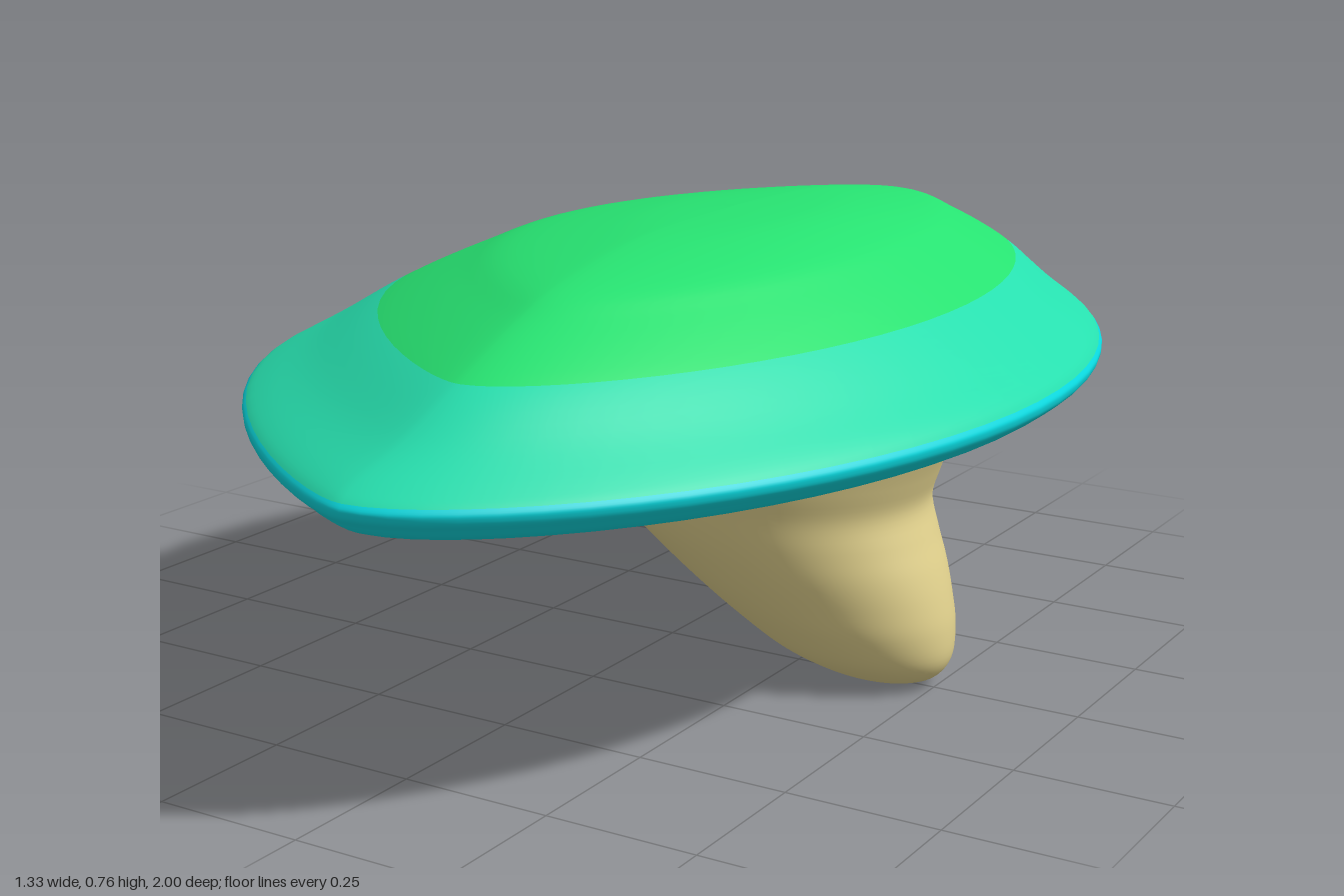
import * as THREE from 'three';

const SIDES = 72, STEPS = 5;

// Smooth interpolation between the key rings of a loft
function smoothRings(keys) {
  const rings = [];
  const at = i => keys[Math.max(0, Math.min(keys.length - 1, i))];
  for (let i = 0; i < keys.length - 1; i++) {
    for (let s = 0; s < STEPS; s++) {
      const t = s / STEPS, t2 = t * t, t3 = t2 * t;
      rings.push(keys[i].map((b, n) => {
        const a = at(i - 1)[n], c = at(i + 1)[n], d = at(i + 2)[n];
        return b + 0.5 * ((c - a) * t + (2 * a - 5 * b + 4 * c - d) * t2 + (3 * b - a - 3 * c + d) * t3);
      }));
    }
  }
  rings.push(keys[keys.length - 1]);
  return rings;
}

// Loft from top to bottom; each ring is [left x, right x, half depth, x of widest point, y].
// leftPoint and rightPoint (0 = elliptical) narrow the outline towards its front and back tips.
function loft(keys, leftPoint, rightPoint) {
  const rings = smoothRings(keys), pos = [], index = [];
  for (const [l, r, w, c, y] of rings) {
    for (let j = 0; j < SIDES; j++) {
      const a = j / SIDES * Math.PI * 2, k = Math.abs(Math.cos(a));
      const right = Math.cos(a) > 0;
      const p = right ? rightPoint : leftPoint;
      const u = (1 - p) * k + p * k * k;
      pos.push(c + u * (right ? r - c : l - c), y, w * Math.sin(a));
    }
  }
  for (let i = 0; i < rings.length - 1; i++) {
    for (let j = 0; j < SIDES; j++) {
      const n = (j + 1) % SIDES;
      const a = i * SIDES + j, c = i * SIDES + n, b = a + SIDES, d = c + SIDES;
      index.push(a, c, b, c, d, b);
    }
  }
  const geo = new THREE.BufferGeometry();
  geo.setAttribute('position', new THREE.Float32BufferAttribute(pos, 3));
  geo.setIndex(index);
  geo.computeVertexNormals();
  return geo;
}

function material(name, color) {
  const m = new THREE.MeshStandardMaterial({ color });
  m.name = name;
  return m;
}

export function createModel() {
  const green = material('green', 0x27e271);
  const teal = material('teal', 0x27dfae);
  const cyan = material('cyan', 0x0ad8de);
  const tan = material('tan', 0xe0d08c);
  const model = new THREE.Group();

  // Lopsided cap: green crown, teal slope, cyan underside
  const capKeys = [
    [0.12, 0.12, 0, 0.12, 0.76],
    [-0.02, 0.26, 0.28, 0.12, 0.752],
    [-0.2, 0.37, 0.53, 0.14, 0.722],
    [-0.3, 0.43, 0.645, 0.14, 0.685],
    [-0.435, 0.508, 0.785, 0.14, 0.625],
    [-0.55, 0.59, 0.89, 0.12, 0.56],
    [-0.625, 0.645, 0.965, 0.1, 0.52],
    [-0.66, 0.662, 0.994, 0.1, 0.501],
    [-0.667, 0.667, 1, 0.1, 0.488],
    [-0.655, 0.655, 0.985, 0.1, 0.47],
    [-0.56, 0.6, 0.92, 0.1, 0.44],
    [-0.3, 0.45, 0.65, 0.1, 0.408],
    [0, 0.25, 0.3, 0.1, 0.392],
    [0.1, 0.1, 0, 0.1, 0.39],
  ];
  const capGeo = loft(capKeys, 0.75, 0.35);
  const perKey = STEPS * SIDES * 6;
  capGeo.addGroup(0, 4 * perKey, 0);
  capGeo.addGroup(4 * perKey, 3 * perKey, 1);
  capGeo.addGroup(7 * perKey, 6 * perKey, 2);
  const cap = new THREE.Mesh(capGeo, [green, teal, cyan]);
  cap.name = 'cap';
  model.add(cap);

  // Leaning, rounded stem
  const stemKeys = [
    [0.22, 0.22, 0, 0.22, 0.425],
    [-0.04, 0.485, 0.225, 0.22, 0.42],
    [-0.07, 0.5, 0.238, 0.22, 0.405],
    [-0.108, 0.48, 0.236, 0.22, 0.35],
    [-0.105, 0.466, 0.226, 0.22, 0.3],
    [-0.06, 0.48, 0.212, 0.24, 0.25],
    [0, 0.499, 0.193, 0.27, 0.2],
    [0.065, 0.514, 0.17, 0.3, 0.15],
    [0.133, 0.524, 0.143, 0.34, 0.1],
    [0.212, 0.523, 0.108, 0.37, 0.05],
    [0.29, 0.5, 0.068, 0.39, 0.018],
    [0.35, 0.46, 0.035, 0.41, 0.004],
    [0.42, 0.42, 0, 0.42, 0],
  ];
  const stem = new THREE.Mesh(loft(stemKeys, 0, 0), tan);
  stem.name = 'stem';
  model.add(stem);

  return model;
}
